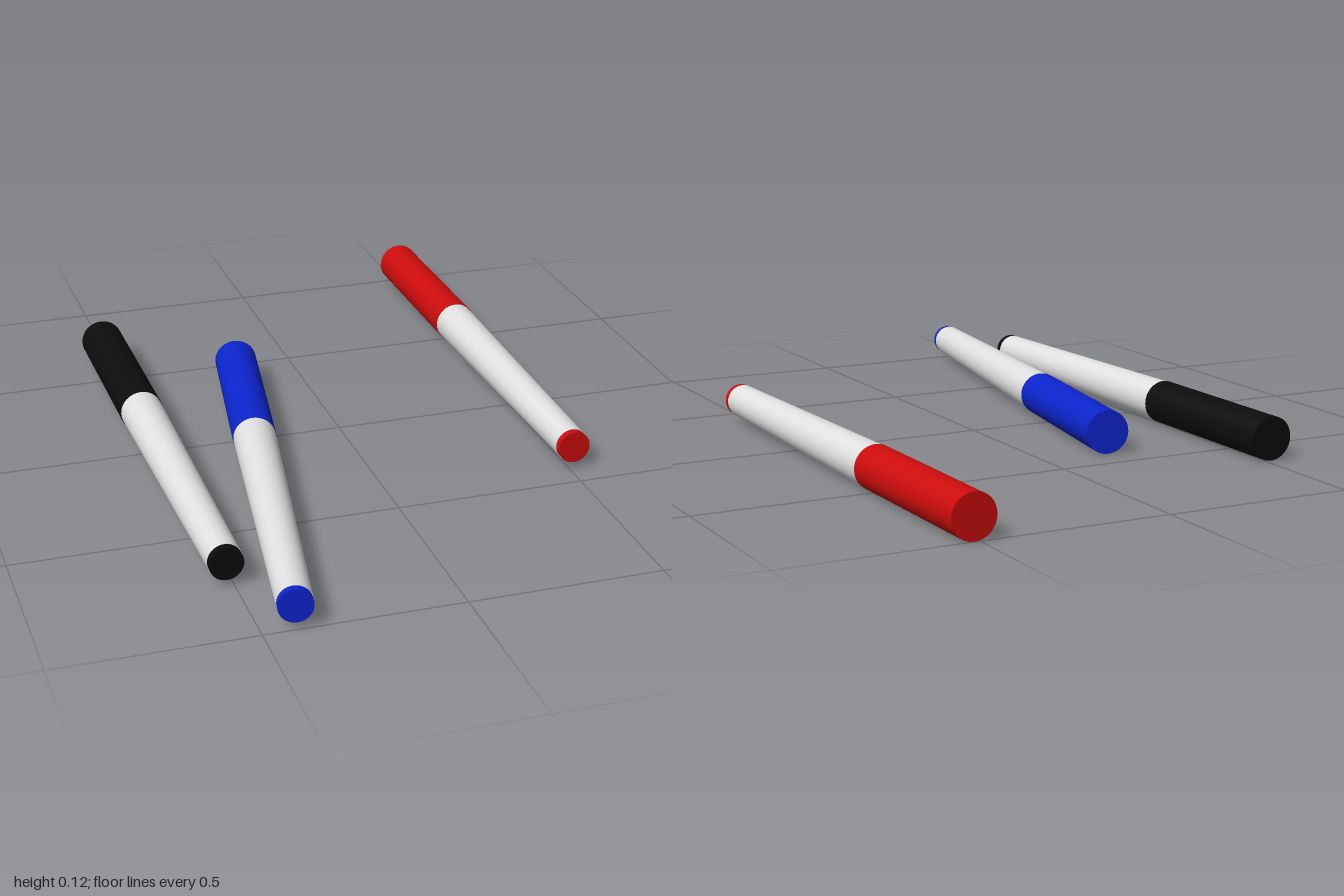
import * as THREE from 'three';

const SIDES = 32;
const LENGTH = 1.42, CAP = 0.52, PLUG = 0.02;
const R_CAP = 0.058, R_BODY = 0.0565, R_TIP = 0.043;

const mat = (name, color) => {
  const m = new THREE.MeshStandardMaterial({ color });
  m.name = name;
  return m;
};

// Tapered cylinder lying along +z from z0 to z1
function rod(name, r0, r1, z0, z1, material) {
  const g = new THREE.CylinderGeometry(r1, r0, z1 - z0, SIDES);
  g.rotateX(Math.PI / 2);
  g.translate(0, 0, (z0 + z1) / 2);
  const mesh = new THREE.Mesh(g, material);
  mesh.name = name;
  return mesh;
}

// Capped pen: the cap end sits at the group's origin, the plug points to +z
function pen(name, color, barrel, x, z, turn) {
  const pen = new THREE.Group();
  pen.name = name;
  pen.add(
    rod('cap', R_CAP, R_CAP, 0, CAP, color),
    rod('barrel', R_BODY, R_TIP + 0.001, CAP, LENGTH - PLUG, barrel),
    rod('endPlug', R_TIP, R_TIP, LENGTH - PLUG, LENGTH, color)
  );
  pen.position.set(x, R_CAP, z);
  pen.rotation.y = turn;
  return pen;
}

export function createModel() {
  const white = mat('barrelWhite', 0xe0e0e0);
  const model = new THREE.Group();
  model.name = 'pens';
  model.add(
    pen('blackPen', mat('black', 0x0c0c0c), white, -0.517, -0.665, 0),
    pen('bluePen', mat('blue', 0x0c24cc), white, -0.182, -0.407, -0.167),
    pen('redPen', mat('red', 0xcc0c0c), white, 0.514, -1, 0)
  );
  return model;
}
